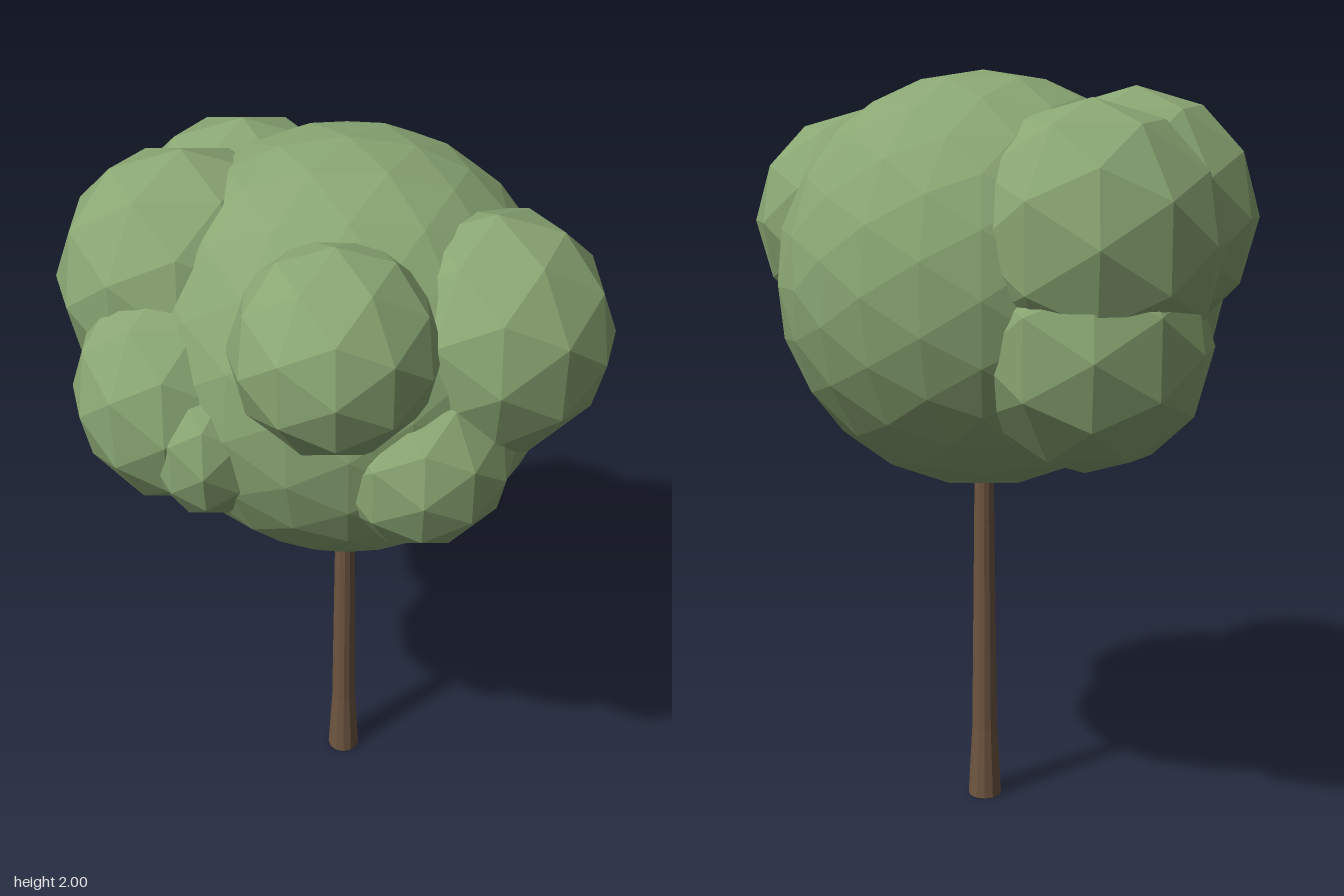
import * as THREE from 'three';

export function createModel() {
  const tree = new THREE.Group();
  tree.name = 'tree';
  const leaf = new THREE.MeshStandardMaterial({ color: 0x8aa673, flatShading: true });
  leaf.name = 'leaf green';
  const bark = new THREE.MeshStandardMaterial({ color: 0x6e5540, flatShading: true });
  bark.name = 'bark brown';

  // Faceted foliage ball: centre, radii, subdivision
  function clump(name, [x, y, z], [rx, ry, rz], detail = 1) {
    const mesh = new THREE.Mesh(new THREE.IcosahedronGeometry(1, detail), leaf);
    mesh.name = name;
    mesh.position.set(x, y, z);
    mesh.scale.set(rx, ry, rz);
    tree.add(mesh);
  }

  // Trunk: slim taper with a flared foot, closed underneath
  const profile = [[0, 0], [0.046, 0], [0.035, 0.2], [0.026, 0.95], [0, 0.95]]
    .map(([r, y]) => new THREE.Vector2(r, y));
  const trunk = new THREE.Mesh(new THREE.LatheGeometry(profile, 12), bark);
  trunk.name = 'trunk';
  trunk.position.set(0.045, 0, -0.01);
  tree.add(trunk);

  // Main crown
  clump('crown', [0.045, 1.455, -0.01], [0.547, 0.545, 0.55], 3);

  // Smaller clumps around the crown
  clump('frontUpperClump', [0.015, 1.665, 0.385], [0.25, 0.25, 0.265]);
  clump('leftClump', [0.38, 1.605, 0.205], [0.3, 0.3, 0.305]);
  clump('frontLowerClump', [0.215, 1.365, 0.36], [0.23, 0.23, 0.235]);
  clump('rightFrontClump', [-0.38, 1.43, 0.17], [0.25, 0.29, 0.28]);
  clump('rightFrontSmallClump', [-0.29, 1.37, 0.28], [0.16, 0.21, 0.21]);
  clump('rightUpperClump', [-0.35, 1.625, -0.03], [0.33, 0.335, 0.31]);
  clump('backUpperClump', [-0.22, 1.575, -0.32], [0.335, 0.345, 0.33]);
  clump('backLowerClump', [-0.21, 1.32, -0.32], [0.32, 0.32, 0.32]);

  return tree;
}
